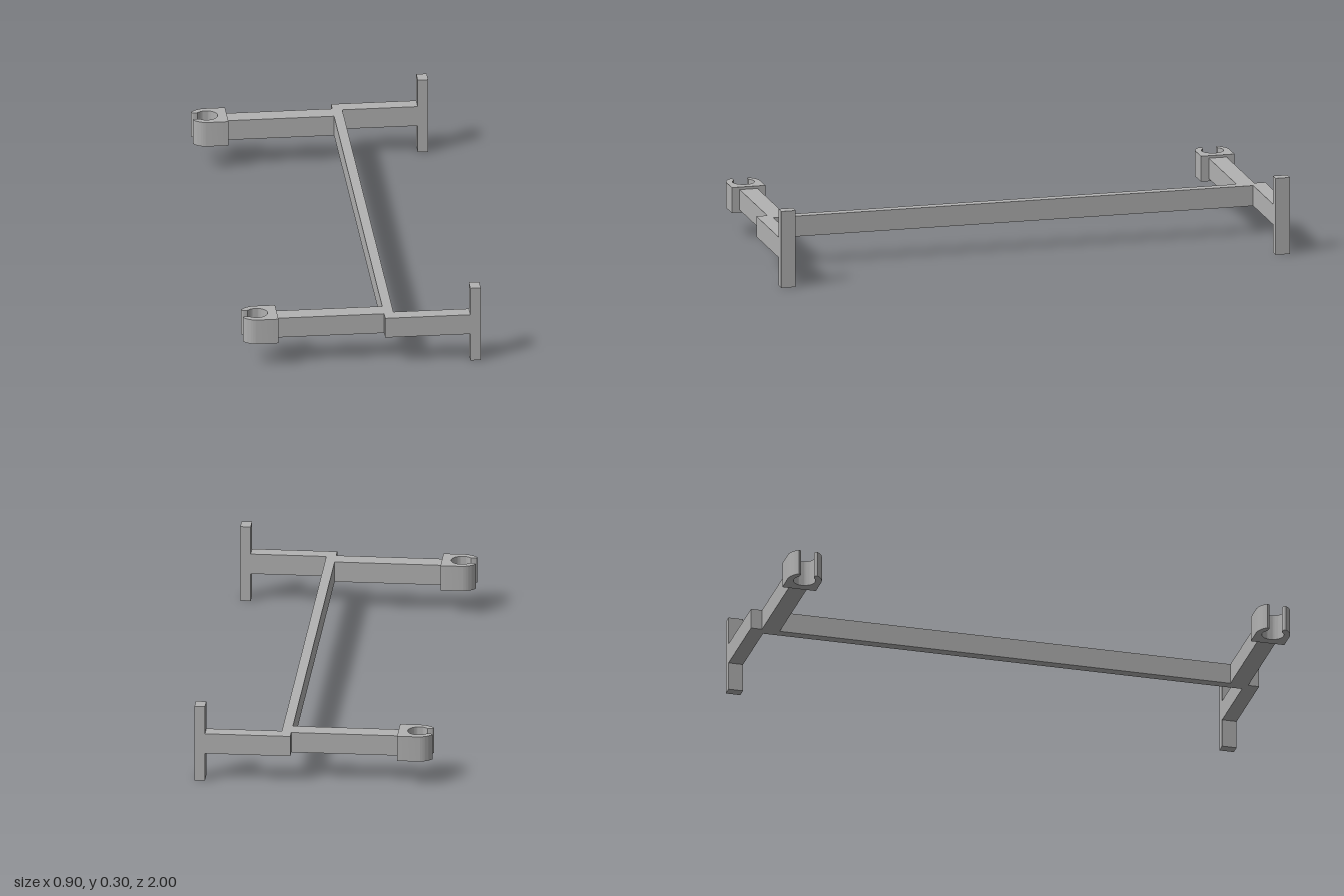
import * as THREE from 'three';
import { toCreasedNormals } from 'three/addons/utils/BufferGeometryUtils.js';

export function createModel() {
  const model = new THREE.Group();
  model.name = 'clipFrame';
  const grey = new THREE.MeshStandardMaterial({ color: 0xb2b2b2 });
  grey.name = 'grey';

  // Box given by its extents on each axis
  function box(name, [x0, x1], [y0, y1], [z0, z1]) {
    const mesh = new THREE.Mesh(new THREE.BoxGeometry(x1 - x0, y1 - y0, z1 - z0), grey);
    mesh.position.set((x0 + x1) / 2, (y0 + y1) / 2, (z0 + z1) / 2);
    mesh.name = name;
    model.add(mesh);
  }

  // Open C-shaped clip: square back, rounded jaws, round socket; origin at the socket centre
  const outer = 0.066, socket = 0.042, back = 0.077;
  const gap = 2.4;   // angle where the socket meets the mouth
  const tip = 2.56;  // angle where the outer curve meets the tip
  const s = new THREE.Shape();
  s.moveTo(back, -outer);
  s.lineTo(back, outer);
  s.lineTo(0, outer);
  s.absarc(0, 0, outer, Math.PI / 2, tip, false);
  s.quadraticCurveTo(-0.054, 0.027, -0.046, 0.027);
  s.lineTo(socket * Math.cos(gap), socket * Math.sin(gap));
  s.absarc(0, 0, socket, gap, -gap, true);
  s.lineTo(-0.046, -0.027);
  s.quadraticCurveTo(-0.054, -0.027, outer * Math.cos(tip), -outer * Math.sin(tip));
  s.absarc(0, 0, outer, -tip, -Math.PI / 2, false);
  const clipGeometry = toCreasedNormals(
    new THREE.ExtrudeGeometry(s, { depth: 0.1, bevelEnabled: false, curveSegments: 24 }).rotateX(-Math.PI / 2), 0.5);

  const barY = [0.11, 0.19];
  box('crossbar', [0.085, 0.122], barY, [-0.943, 0.943]);

  // Matching arm, clip, bracket and post at each end
  for (const side of [1, -1]) {
    const label = side > 0 ? 'front' : 'back';
    const range = (a, b) => (side > 0 ? [a, b] : [-b, -a]);
    box(label + 'ClipArm', [-0.321, 0.085], barY, range(0.887, 0.957));
    box(label + 'PostArm', [0.085, 0.41], barY, range(0.943, 1));
    box(label + 'Post', [0.41, 0.45], [0, 0.3], range(0.943, 1));
    const clip = new THREE.Mesh(clipGeometry, grey);
    clip.position.set(-0.398, 0.1, side * 0.922);
    clip.name = label + 'Clip';
    model.add(clip);
  }
  return model;
}
